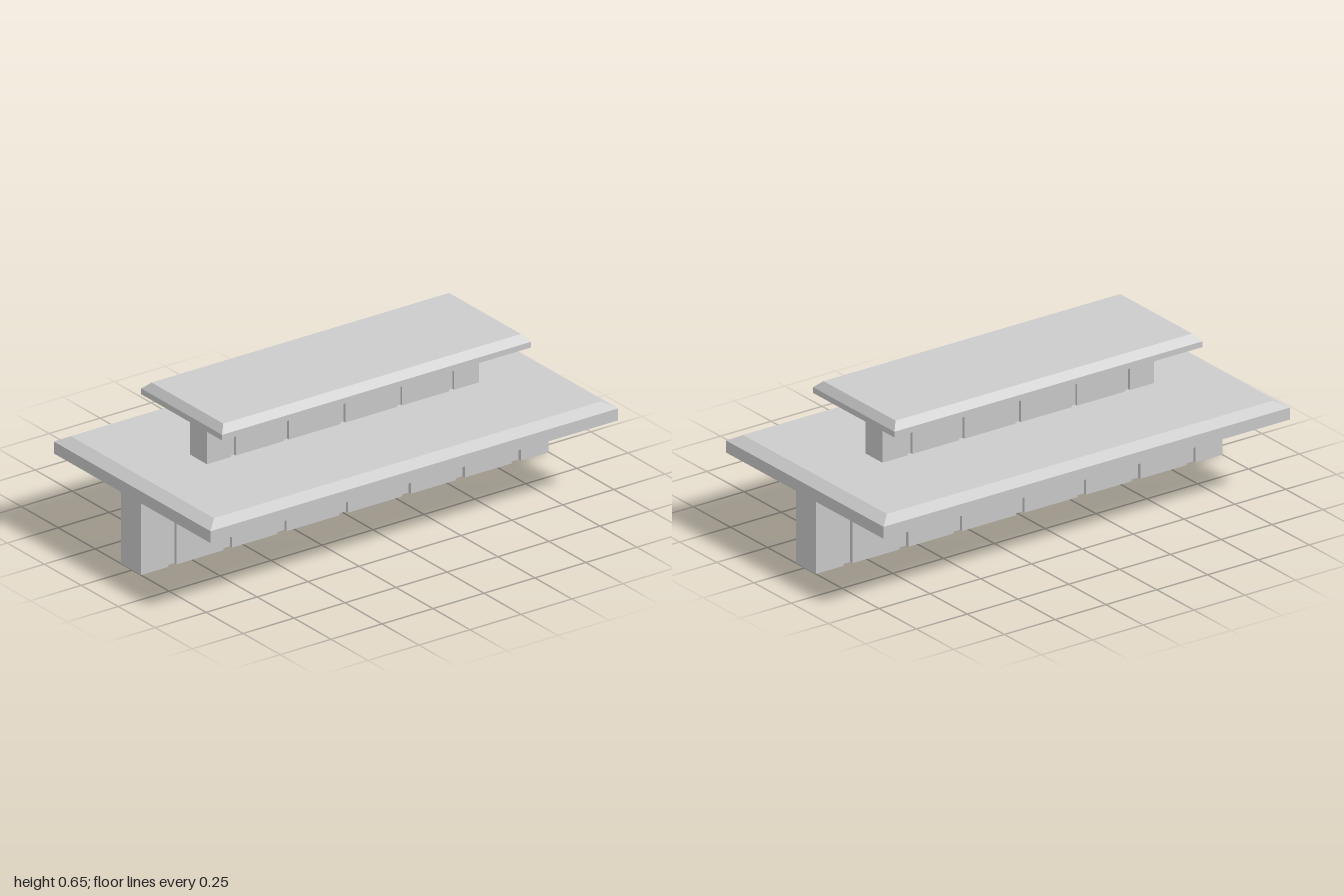
import * as THREE from 'three';

const material = new THREE.MeshStandardMaterial({ color: 0xcccccc, flatShading: true });

// Slab with an upright rim and a chamfered upper edge
function makeSlab(name, { x0, x1, z0, z1, bottom, rim, top, insetX, insetZ }) {
  const w = x1 - x0, d = z1 - z0;
  const geometry = new THREE.BoxGeometry(w, 2, d, 1, 2, 1);
  const p = geometry.attributes.position;
  for (let i = 0; i < p.count; i++) {
    const level = Math.round(p.getY(i));
    p.setY(i, level < 0 ? bottom : level === 0 ? rim : top);
    if (level > 0) {
      p.setX(i, p.getX(i) * (1 - 2 * insetX / w));
      p.setZ(i, p.getZ(i) * (1 - 2 * insetZ / d));
    }
  }
  geometry.translate((x0 + x1) / 2, 0, (z0 + z1) / 2);
  geometry.computeVertexNormals();
  const mesh = new THREE.Mesh(geometry, material);
  mesh.name = name;
  return mesh;
}

// Wall whose two long faces are cut by narrow vertical grooves
function makeWall(name, { x0, x1, front, back, bottom, top, grooves, width, depth }) {
  const shape = new THREE.Shape();
  const h = width / 2;
  // shape y is -z, so the front face is the lower edge of the outline
  shape.moveTo(x0, -front);
  for (const x of grooves) {
    shape.lineTo(x - h, -front);
    shape.lineTo(x - h, -front + depth);
    shape.lineTo(x + h, -front + depth);
    shape.lineTo(x + h, -front);
  }
  shape.lineTo(x1, -front);
  shape.lineTo(x1, -back);
  for (const x of [...grooves].reverse()) {
    shape.lineTo(x + h, -back);
    shape.lineTo(x + h, -back - depth);
    shape.lineTo(x - h, -back - depth);
    shape.lineTo(x - h, -back);
  }
  shape.lineTo(x0, -back);
  shape.closePath();
  const geometry = new THREE.ExtrudeGeometry(shape, { depth: top - bottom, bevelEnabled: false });
  geometry.rotateX(-Math.PI / 2);
  geometry.translate(0, bottom, 0);
  const mesh = new THREE.Mesh(geometry, material);
  mesh.name = name;
  return mesh;
}

export function createModel() {
  const model = new THREE.Group();
  model.name = 'tieredSlabs';
  model.add(
    makeWall('lowerWall', {
      x0: -1, x1: 1, front: 0.06, back: -0.075, bottom: 0, top: 0.313,
      grooves: [-0.847, -0.575, -0.308, -0.005, 0.302, 0.567, 0.842], width: 0.043, depth: 0.015,
    }),
    makeSlab('lowerSlab', {
      x0: -1, x1: 1, z0: -0.53, z1: 0.53, bottom: 0.313, rim: 0.365, top: 0.392,
      insetX: 0.05, insetZ: 0.046,
    }),
    makeWall('upperWall', {
      x0: -0.67, x1: 0.665, front: 0.051, back: -0.065, bottom: 0.392, top: 0.6,
      grooves: [-0.54, -0.28, -0.003, 0.275, 0.53], width: 0.025, depth: 0.012,
    }),
    makeSlab('upperSlab', {
      x0: -0.756, x1: 0.76, z0: -0.275, z1: 0.272, bottom: 0.6, rim: 0.625, top: 0.655,
      insetX: 0.028, insetZ: 0.031,
    }),
  );
  return model;
}
